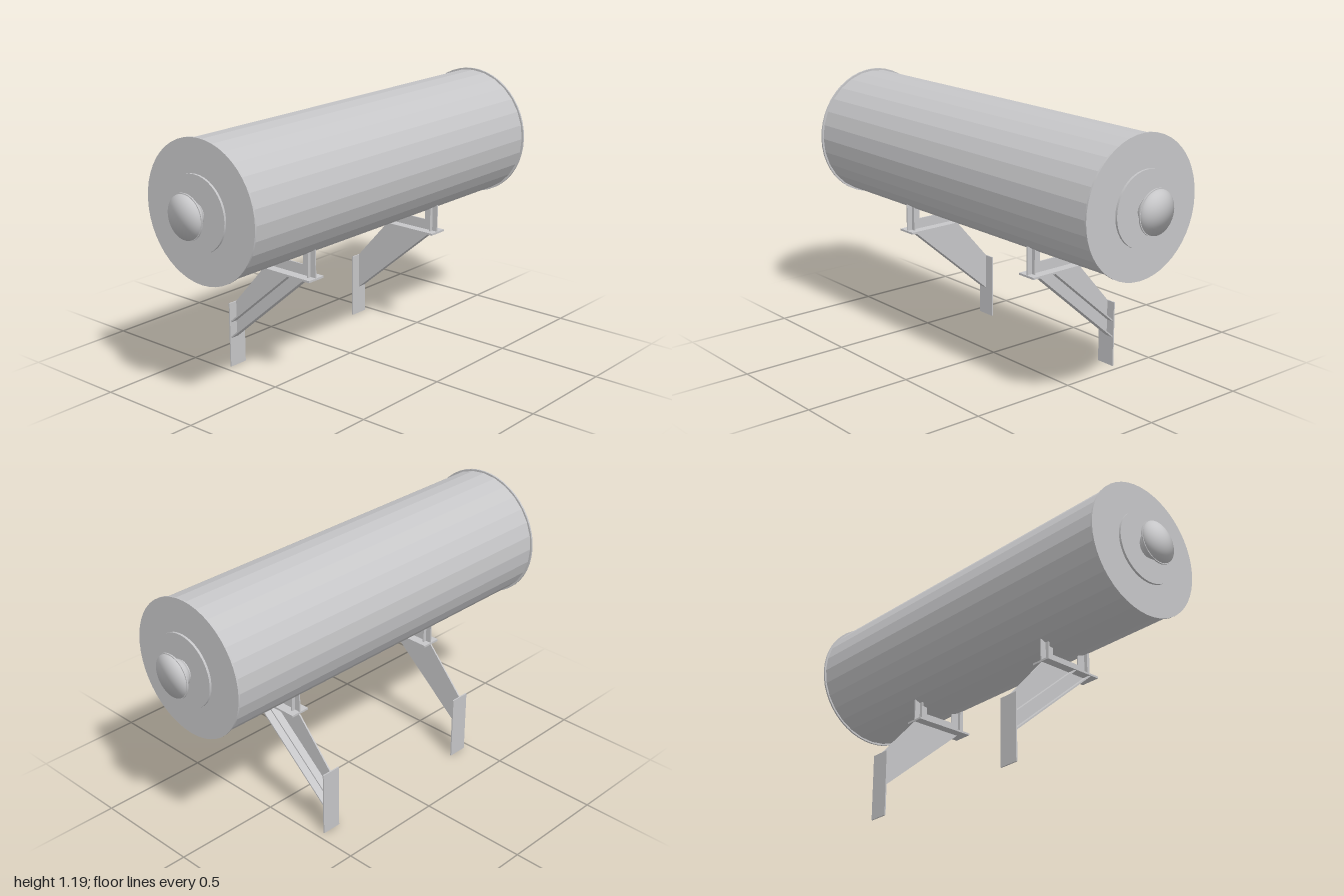
import * as THREE from 'three';

export function createModel() {
  const model = new THREE.Group();
  const steel = new THREE.MeshStandardMaterial({ color: 0xc6c6c8 });
  steel.name = 'greySteel';
  const CX = 0.002, CY = 0.887, R = 0.295;

  const add = (parent, name, geometry) => {
    const mesh = new THREE.Mesh(geometry, steel);
    mesh.name = name;
    parent.add(mesh);
    return mesh;
  };
  // Cylinder lying along z, spanning z0..z1
  const disc = (parent, name, r, z0, z1, sides = 40) => {
    const g = new THREE.CylinderGeometry(r, r, z1 - z0, sides);
    g.rotateX(Math.PI / 2).translate(0, 0, (z0 + z1) / 2);
    return add(parent, name, g);
  };

  // Tank body with visible facets
  const tank = new THREE.Group();
  tank.name = 'tank';
  tank.position.set(CX, CY, 0);
  model.add(tank);
  const shell = new THREE.CylinderGeometry(R, R, 1.81, 28).toNonIndexed();
  shell.rotateX(Math.PI / 2).computeVertexNormals();
  add(tank, 'tankShell', shell);

  // Matching end fittings
  for (const s of [1, -1]) {
    const end = new THREE.Group();
    end.name = s > 0 ? 'frontEnd' : 'backEnd';
    if (s < 0) end.rotation.y = Math.PI;
    tank.add(end);
    disc(end, 'endPlate', 0.303, 0.904, 0.912, 48);
    disc(end, 'manholeNeck', 0.132, 0.91, 0.928);
    disc(end, 'manholeCover', 0.162, 0.926, 0.936);
    disc(end, 'hubCore', 0.05, 0.936, 0.992, 24);
    const hub = new THREE.LatheGeometry([
      [0.05, 0.944], [0.058, 0.946], [0.062, 0.956], [0.062, 0.968], [0.058, 0.978], [0.05, 0.98],
    ].map(([r, y]) => new THREE.Vector2(r, y)), 24);
    hub.rotateX(Math.PI / 2);
    add(end, 'hubBulge', hub);
    disc(end, 'capRim', 0.098, 0.989, 0.995);
    // Very shallow cap that keeps its rounded normals
    const cap = new THREE.SphereGeometry(0.094, 40, 14, 0, Math.PI * 2, 0, Math.PI / 2);
    cap.rotateX(Math.PI / 2);
    const p = cap.attributes.position;
    for (let i = 0; i < p.count; i++) p.setZ(i, 0.995 + p.getZ(i) * 0.053);
    add(end, 'cap', cap);
  }

  // Height of the tank underside at a given x
  const under = (x) => CY - Math.sqrt(R * R - (x - CX) ** 2) + 0.004;

  // Two mirrored wall brackets
  for (const s of [1, -1]) {
    const bracket = new THREE.Group();
    bracket.name = s > 0 ? 'frontBracket' : 'backBracket';
    model.add(bracket);
    const start = (z0, z1) => (s > 0 ? z0 : -z1);
    // Flat outline in x,y extruded across z0..z1
    const plate = (name, points, z0, z1) => {
      const shape = new THREE.Shape(points.map(([x, y]) => new THREE.Vector2(x, y)));
      const g = new THREE.ExtrudeGeometry(shape, { depth: z1 - z0, bevelEnabled: false });
      g.translate(0, 0, start(z0, z1));
      return add(bracket, name, g);
    };
    const bar = (name, x0, x1, y0, y1, z0, z1) =>
      plate(name, [[x0, y0], [x1, y0], [x1, y1], [x0, y1]], z0, z1);

    bar('wallPlate', -0.308, -0.302, 0, 0.302, 0.375, 0.467);
    bar('seatPlate', -0.122, 0.174, 0.51, 0.519, 0.375, 0.467);

    // Sloping gusset with a channel along its lower edge
    plate('gusset', [[-0.303, 0.135], [0.135, 0.51], [-0.118, 0.51], [-0.303, 0.302]], 0.419, 0.426);
    plate('channelLowerFlange', [[-0.303, 0.135], [0.135, 0.51], [0.125, 0.51], [-0.303, 0.143]], 0.424, 0.462);
    plate('channelUpperFlange', [[-0.303, 0.21], [0.048, 0.51], [0.038, 0.51], [-0.303, 0.218]], 0.424, 0.462);

    // Saddle web, notched in the middle and curved to the tank
    const outline = [[-0.12, 0.518], [0.17, 0.518]];
    for (const x of [0.17, 0.15, 0.125, 0.1]) outline.push([x, under(x)]);
    outline.push([0.1, 0.566], [-0.05, 0.566]);
    for (const x of [-0.05, -0.075, -0.1, -0.12]) outline.push([x, under(x)]);
    plate('saddleWeb', outline, 0.417, 0.423);

    // Upright stiffeners across the web
    for (const x of [-0.093, 0.138]) {
      bar('stiffener', x, x + 0.006, 0.518, under(x) + 0.002, 0.4, 0.44);
    }
  }
  return model;
}
